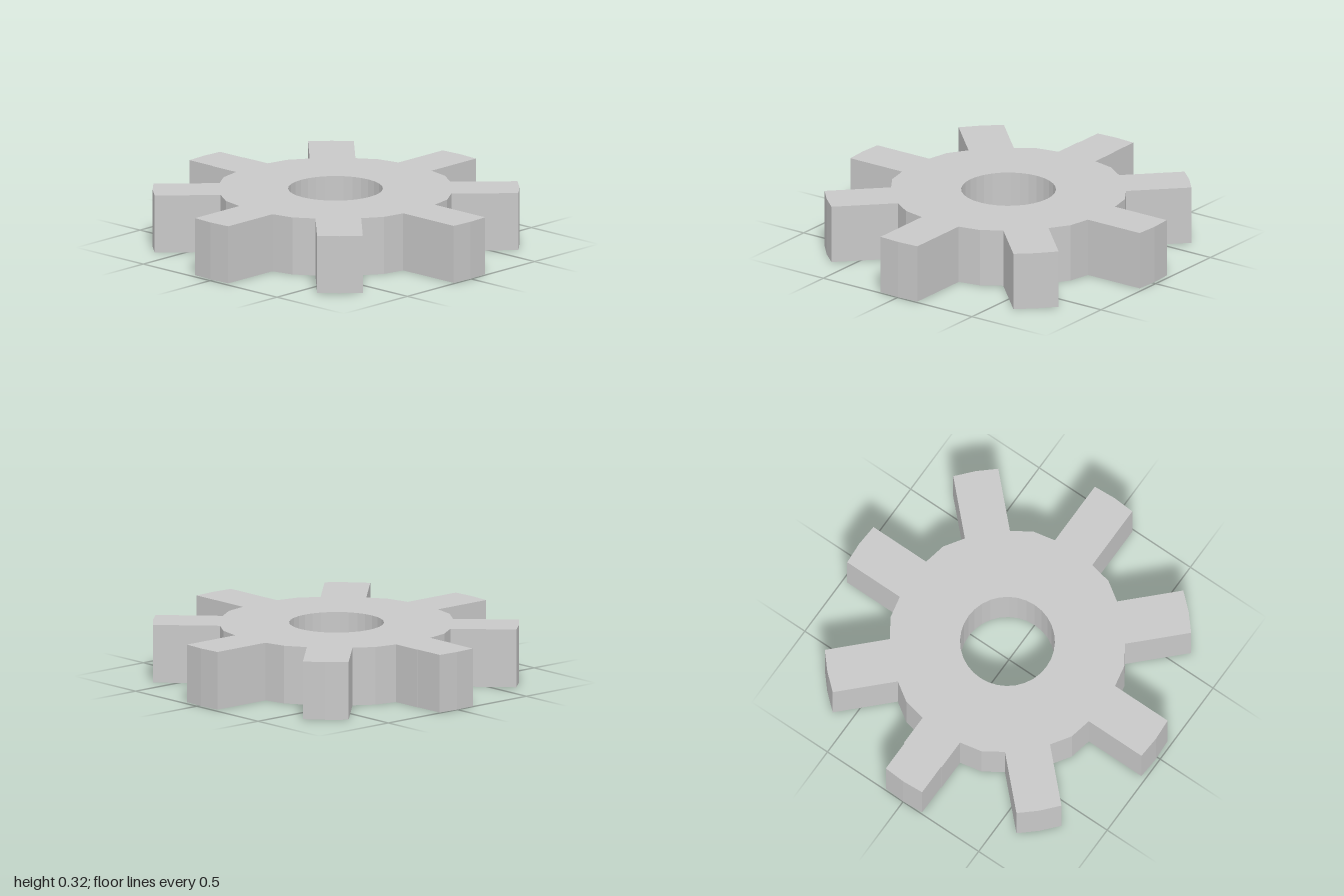
import * as THREE from 'three';

const HEIGHT = 0.32;
const ROOT = 0.649; // valley radius midway between teeth
const HALF = 0.124; // half the tooth width
const TIPS = [0.981, 0.991, 0.985, 0.991, 0.981, 0.997, 1.01, 0.997]; // tip radius, counter-clockwise from +x

export function createModel() {
  const group = new THREE.Group();
  group.name = 'gear';
  const steel = new THREE.MeshStandardMaterial({ color: 0xc8c8c8 });
  steel.name = 'light grey metal';

  // Outline: per tooth, the two flanks, a two-facet tip and a valley point
  const points = [];
  TIPS.forEach((tip, i) => {
    const angle = (i * Math.PI) / 4;
    const add = (along, across, turn = 0) =>
      points.push(new THREE.Vector2(along, across).rotateAround(new THREE.Vector2(), angle + turn));
    const tipHalf = i === 2 ? 0.12 : HALF; // the rear tooth narrows slightly
    const corner = Math.sqrt(tip * tip - tipHalf * tipHalf);
    add(0.625, -HALF);
    if (i === 2) add(0.8, -HALF), add(0.8, -tipHalf);
    add(corner, -tipHalf);
    add(tip, 0);
    add(corner, tipHalf);
    if (i === 2) add(0.8, tipHalf), add(0.8, HALF);
    add(0.625, HALF);
    add(ROOT, 0, Math.PI / 8);
  });
  const outline = new THREE.Shape(points);

  // Round axle hole
  outline.holes.push(new THREE.Path().absarc(0, 0, 0.257, 0, Math.PI * 2, true));

  const geometry = new THREE.ExtrudeGeometry(outline, {
    depth: HEIGHT,
    bevelEnabled: false,
    curveSegments: 16,
  });
  geometry.rotateX(-Math.PI / 2);
  geometry.translate(0, 0, -0.014);

  const gear = new THREE.Mesh(geometry, steel);
  gear.name = 'toothedWheel';
  group.add(gear);
  return group;
}
